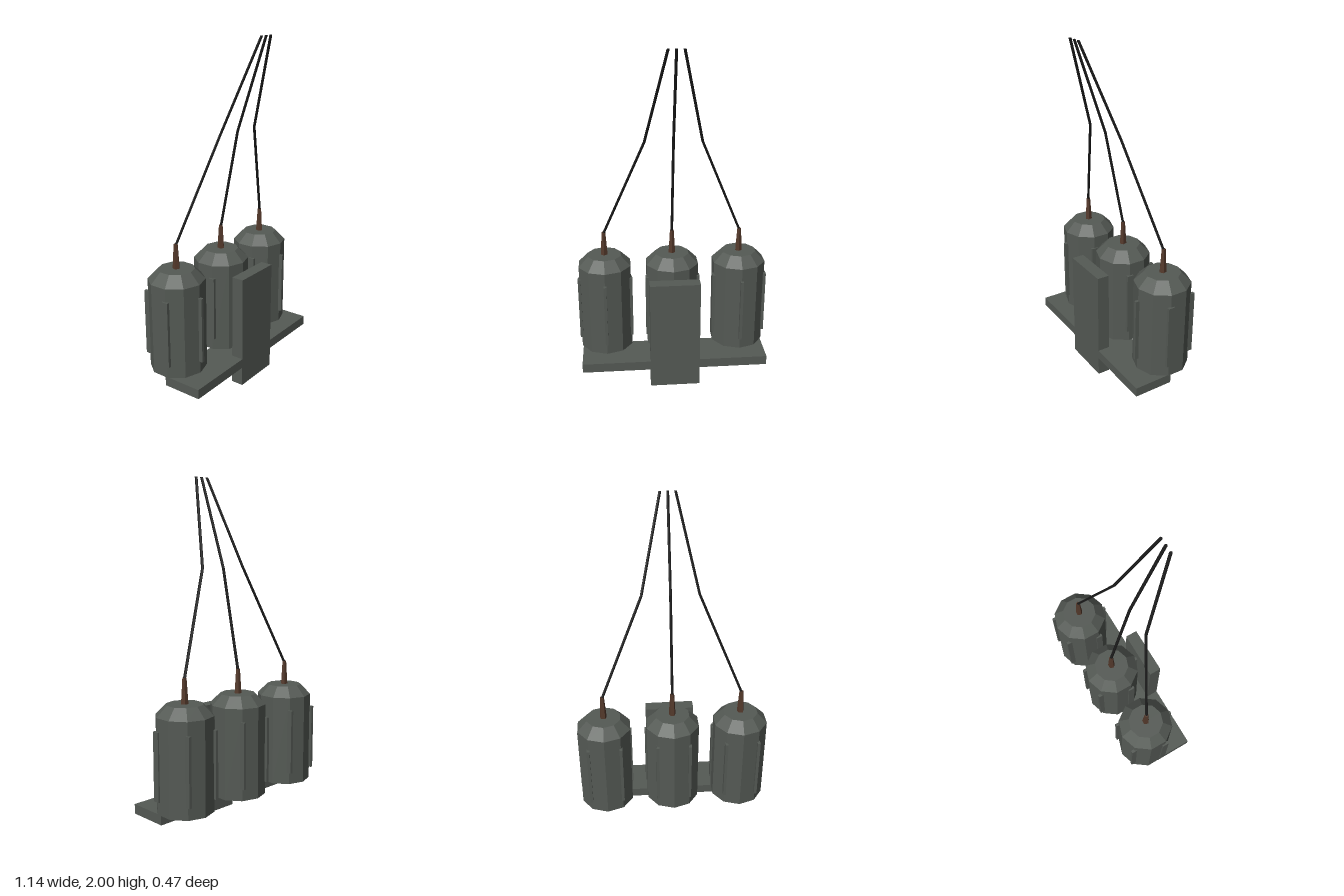
import * as THREE from 'three';

const mat = (name, color) => {
  const m = new THREE.MeshStandardMaterial({ color });
  m.name = name;
  return m;
};

function add(parent, name, geometry, material, x = 0, y = 0, z = 0) {
  // Faceted normals suit the low-poly shapes
  const flat = geometry.index ? geometry.toNonIndexed() : geometry;
  flat.computeVertexNormals();
  const mesh = new THREE.Mesh(flat, material);
  mesh.name = name;
  mesh.position.set(x, y, z);
  parent.add(mesh);
  return mesh;
}

// Bent wire: one level ring at each path point, so the bends stay joined
function wireGeometry(points, radius) {
  const geo = new THREE.CylinderGeometry(radius, radius, 2, 6, points.length - 1);
  const pos = geo.attributes.position;
  for (let i = 0; i < pos.count; i++) {
    const level = Math.round((pos.getY(i) + 1) / 2 * (points.length - 1));
    const [x, y, z] = points[level];
    pos.setXYZ(i, pos.getX(i) + x, y, pos.getZ(i) + z);
  }
  return geo;
}

export function createModel() {
  const steel = mat('greyGreenSteel', 0x555a55);
  const brown = mat('brownCeramic', 0x553a2c);
  const black = mat('blackCable', 0x1a1a1a);

  const model = new THREE.Group();
  model.name = 'transformerBank';

  // Mounting plate and shelf
  add(model, 'mountingPlate', new THREE.BoxGeometry(0.294, 0.67, 0.073), steel, 0, 0.335, 0.1535);
  add(model, 'shelf', new THREE.BoxGeometry(1.106, 0.056, 0.235), steel, 0, 0.143, 0.0725);

  // Three identical tanks, each with fins, bushing and cable
  const tankZ = -0.075;
  [-1, 0, 1].forEach((side) => {
    const tank = new THREE.Group();
    tank.name = ['rightTank', 'middleTank', 'leftTank'][side + 1];
    tank.position.set(side * 0.405, 0, tankZ);
    model.add(tank);

    add(tank, 'tankBody', new THREE.CylinderGeometry(0.162, 0.162, 0.533, 10), steel, 0, 0.4385);
    add(tank, 'tankLid', new THREE.CylinderGeometry(0.103, 0.162, 0.06, 10), steel, 0, 0.735);

    for (let i = 0; i < 5; i++) {
      const a = i * Math.PI * 2 / 5;
      add(tank, 'coolingFin', new THREE.BoxGeometry(0.017, 0.386, 0.04), steel,
        0.162 * Math.sin(a), 0.437, 0.162 * Math.cos(a));
    }

    add(tank, 'bushing', new THREE.CylinderGeometry(0.012, 0.021, 0.142, 5), brown, 0, 0.836);

    add(model, 'cable', wireGeometry([
      [side * 0.405, 0.9, tankZ],
      [side * 0.161, 1.48, 0.045],
      [side * 0.042, 2, 0.226],
    ], 0.0085), black);
  });

  return model;
}
